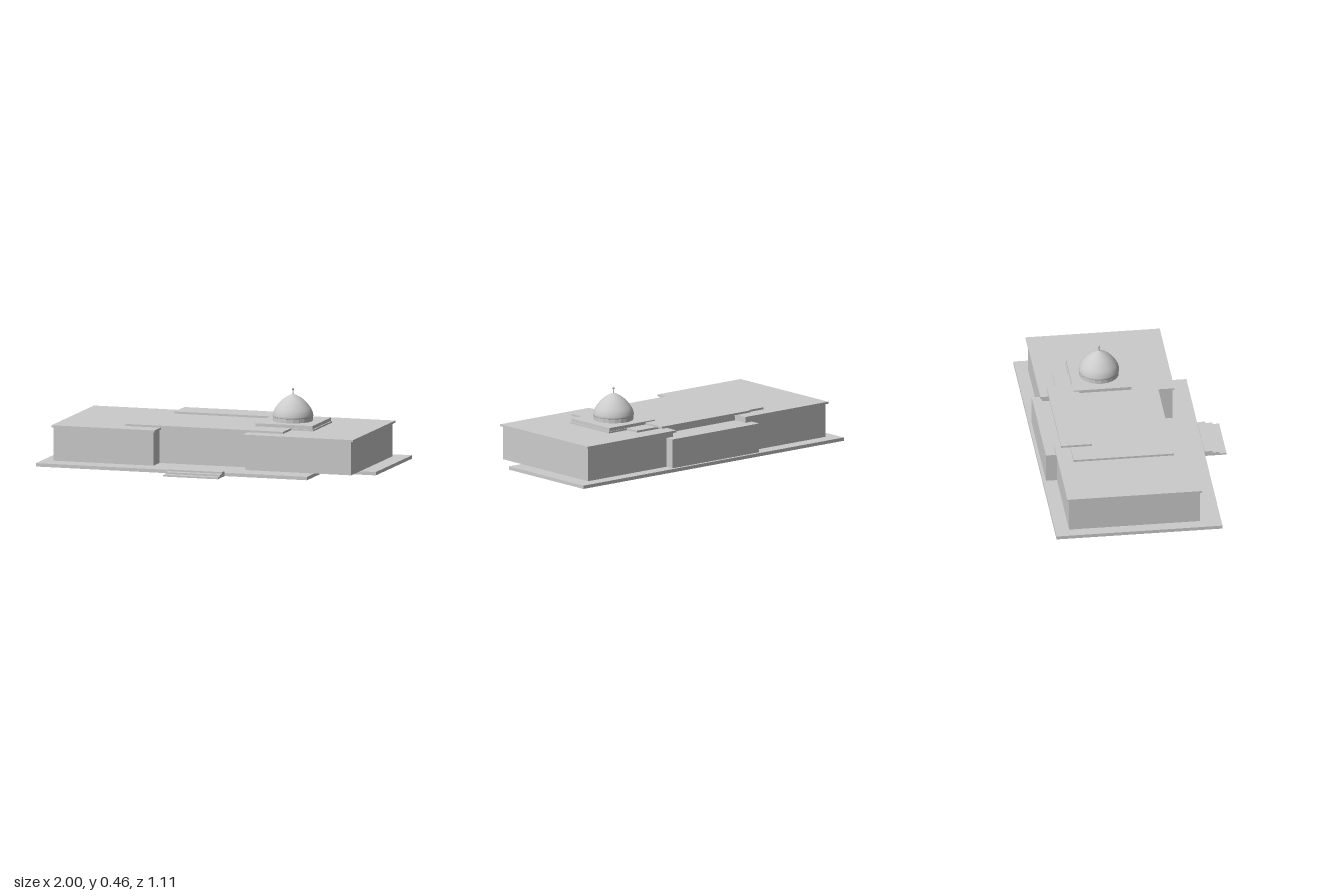
import * as THREE from 'three';

const material = new THREE.MeshStandardMaterial({ color: 0xcccccc });

export function createModel() {
  const model = new THREE.Group();
  model.name = 'domedBuilding';

  const add = (name, geometry, x = 0, y = 0, z = 0) => {
    const mesh = new THREE.Mesh(geometry, material);
    mesh.name = name;
    mesh.position.set(x, y, z);
    model.add(mesh);
    return mesh;
  };

  // Box given by its limits on each axis
  const block = (name, [x0, x1], [y0, y1], [z0, z1]) =>
    add(name, new THREE.BoxGeometry(x1 - x0, y1 - y0, z1 - z0),
      (x0 + x1) / 2, (y0 + y1) / 2, (z0 + z1) / 2);

  // Ground slab with one front corner cut away
  const outline = [[-1, 0.555], [1, 0.555], [1, -0.123], [0.675, -0.123], [0.675, -0.426], [-1, -0.426]];
  const slab = new THREE.Shape(outline.map(([x, y]) => new THREE.Vector2(x, y)));
  const slabGeometry = new THREE.ExtrudeGeometry(slab, { depth: 0.02, bevelEnabled: false });
  slabGeometry.rotateX(-Math.PI / 2);
  add('groundSlab', slabGeometry);

  // Entrance steps, rising toward the building
  const stepEdges = [0.426, 0.472, 0.514, 0.555];
  for (let i = 0; i < 3; i++) {
    block('step', [-0.17, 0.167], [0, 0.03 - i * 0.01], [stepEdges[i], stepEdges[i + 1]]);
  }

  // Wings and the hall between them
  block('rightWing', [-0.931, -0.314], [0.02, 0.219], [-0.472, 0.303]);
  block('rightWingRoof', [-0.942, -0.305], [0.219, 0.231], [-0.483, 0.313]);
  block('leftWing', [0.249, 0.903], [0.02, 0.219], [-0.482, 0.289]);
  block('leftWingRoof', [0.234, 0.917], [0.219, 0.231], [-0.494, 0.299]);
  block('centralHall', [-0.314, 0.249], [0.02, 0.231], [-0.38, 0.19]);
  block('centralRoof', [-0.52, 0.453], [0.231, 0.243], [-0.393, 0.201]);
  block('rearAnnex', [-0.365, 0.299], [0.02, 0.193], [-0.537, -0.37]);
  block('rearRoofStrip', [-0.372, 0.307], [0.243, 0.255], [-0.448, -0.266]);

  // Stepped plinth under the dome
  block('plinthBase', [0.227, 0.59], [0.231, 0.241], [-0.302, 0.054]);
  block('plinth', [0.231, 0.583], [0.241, 0.261], [-0.297, 0.046]);

  // Faceted drum, pointed dome and finial
  const domeX = 0.406, domeZ = -0.126;
  const drum = new THREE.CylinderGeometry(0.117, 0.117, 0.03, 20).toNonIndexed();
  drum.computeVertexNormals();
  add('drum', drum, domeX, 0.276, domeZ);

  const profile = new THREE.SplineCurve([
    [0.118, 0.285], [0.119, 0.296], [0.112, 0.321], [0.098, 0.345],
    [0.075, 0.373], [0.045, 0.398], [0.016, 0.414], [0, 0.421],
  ].map(([r, y]) => new THREE.Vector2(r, y))).getPoints(28);
  profile[profile.length - 1].x = 0;
  add('dome', new THREE.LatheGeometry([new THREE.Vector2(0, 0.285), ...profile], 48), domeX, 0, domeZ);

  add('finialRod', new THREE.CylinderGeometry(0.004, 0.004, 0.034, 12), domeX, 0.43, domeZ);
  add('finialBall', new THREE.SphereGeometry(0.007, 16, 12), domeX, 0.448, domeZ);

  return model;
}
